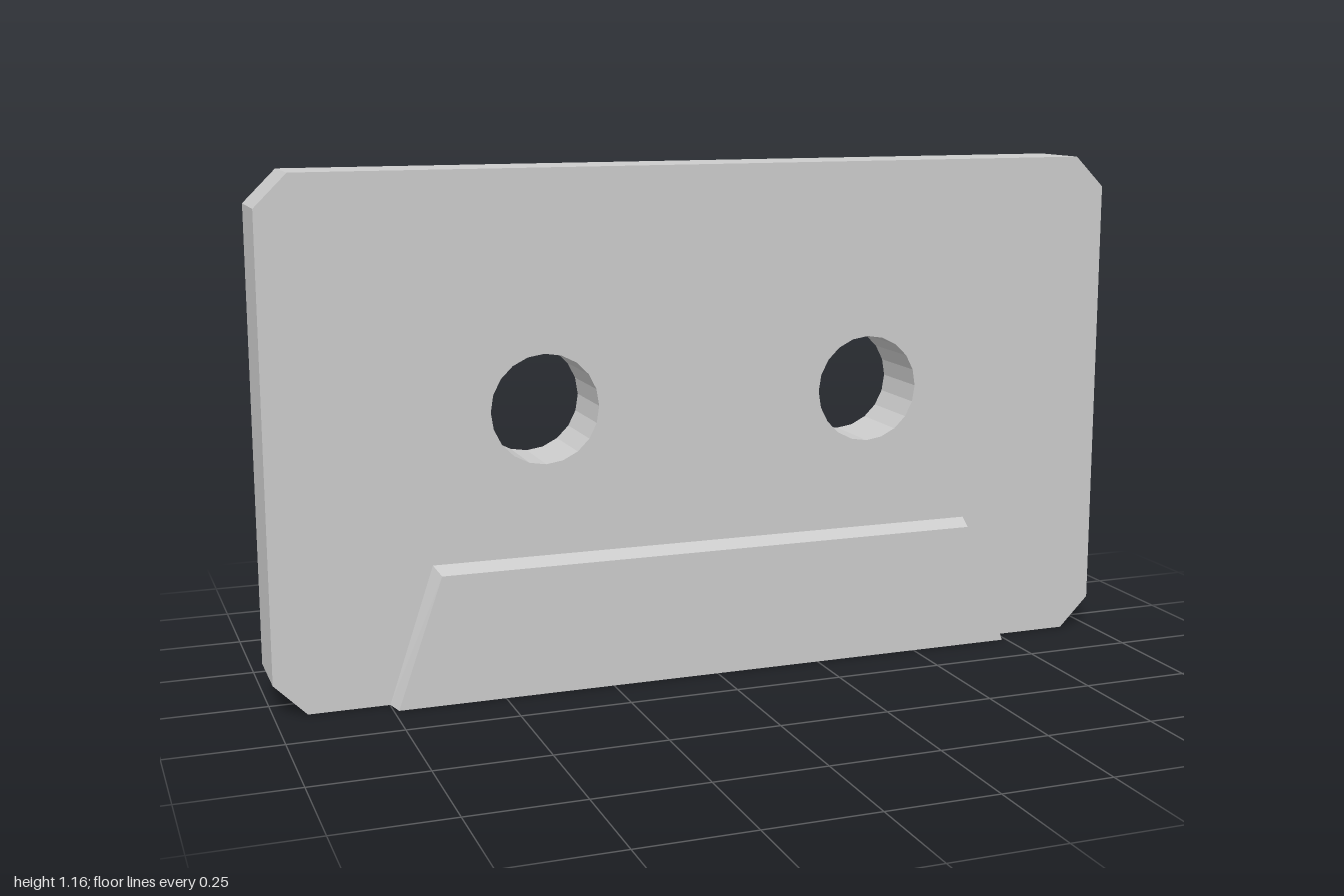
import * as THREE from 'three';

const material = new THREE.MeshStandardMaterial({ color: 0xcccccc, flatShading: true });
const HALF_DEPTH = 0.082;

// Chamfered plate with two round through-holes
function createBody() {
  const w = 1, h = 1.16, c = 0.072;
  const shape = new THREE.Shape([
    [-w + c, 0], [w - c, 0], [w, c], [w, h - c],
    [w - c, h], [-w + c, h], [-w, h - c], [-w, c],
  ].map(([x, y]) => new THREE.Vector2(x, y)));
  for (const side of [-1, 1]) {
    const hole = new THREE.Path();
    hole.absarc(side * 0.388, 0.634, 0.123, 0, Math.PI * 2, true);
    shape.holes.push(hole);
  }
  const geometry = new THREE.ExtrudeGeometry(shape, {
    depth: HALF_DEPTH * 2, bevelEnabled: false, curveSegments: 10,
  });
  geometry.translate(0, 0, -HALF_DEPTH);
  const body = new THREE.Mesh(geometry, material);
  body.name = 'body';
  return body;
}

// Raised trapezoid whose sides and top slope in towards its outer face
function createRaisedPanel(name) {
  const geometry = new THREE.BoxGeometry(2, 2, 2);
  const p = geometry.attributes.position;
  for (let i = 0; i < p.count; i++) {
    const outer = p.getZ(i) > 0, top = p.getY(i) > 0;
    const halfWidth = (top ? 0.647 : 0.749) - (outer ? 0.01 : 0);
    const y = top ? (outer ? 0.291 : 0.305) : 0;
    p.setXYZ(i, Math.sign(p.getX(i)) * halfWidth, y, outer ? 0.127 : HALF_DEPTH);
  }
  geometry.computeVertexNormals();
  const panel = new THREE.Mesh(geometry, material);
  panel.name = name;
  return panel;
}

export function createModel() {
  const model = new THREE.Group();
  model.name = 'cassette';
  const front = createRaisedPanel('frontPanel');
  const back = createRaisedPanel('backPanel');
  back.rotation.y = Math.PI;
  model.add(createBody(), front, back);
  return model;
}
